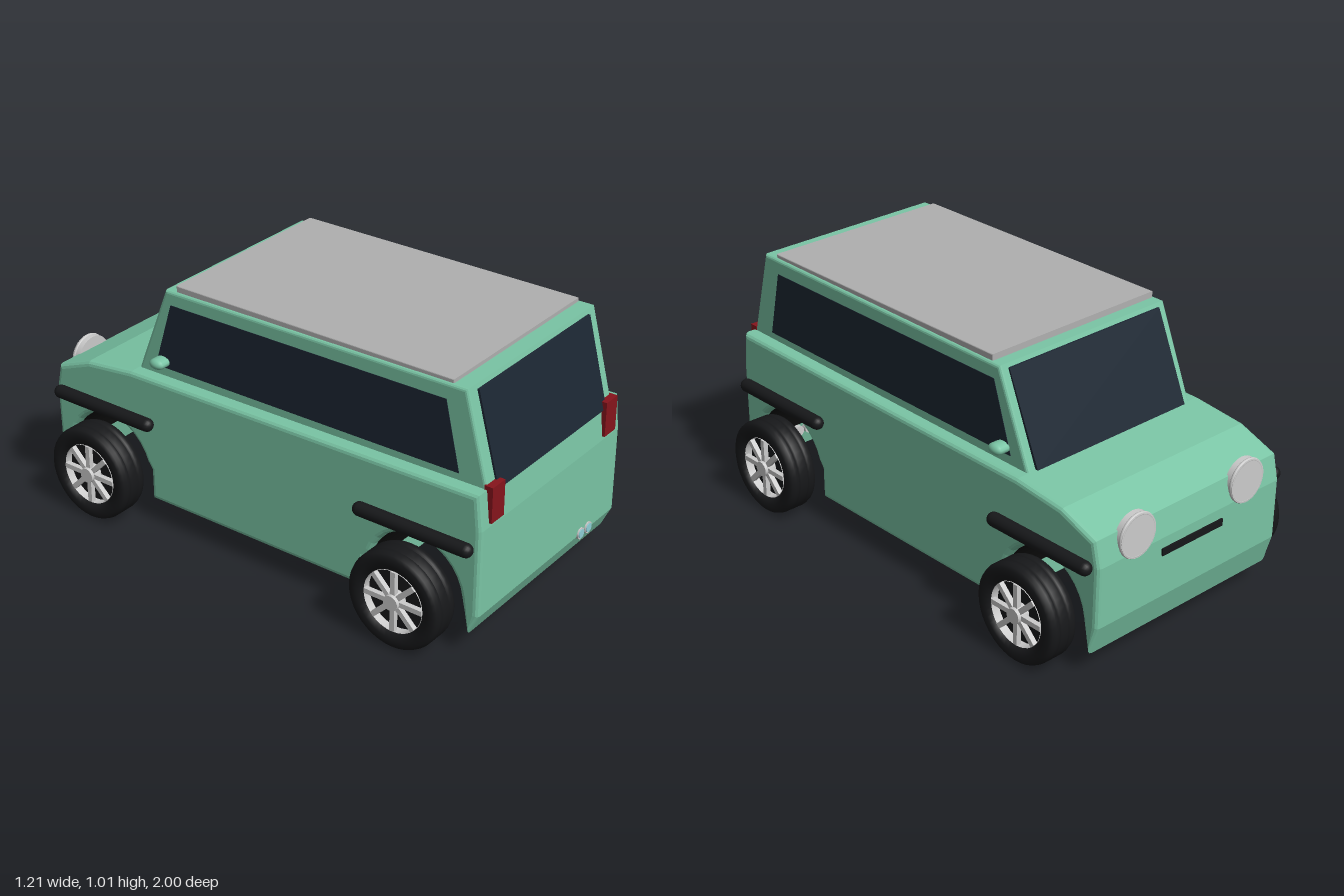
import * as THREE from 'three';

const mat = (color, extra = {}) => new THREE.MeshStandardMaterial({ color, ...extra });
const paint = mat(0x7ac5a5);
const glass = mat(0x1c2733);
const black = mat(0x17181a);
const liner = mat(0x0a0a0a, { side: THREE.DoubleSide });
const metal = mat(0xcccccc);
const rimMetal = mat(0xcccccc, { side: THREE.DoubleSide });
const roofGrey = mat(0xb0b0b0);
const red = mat(0x86141c);
const lens = mat(0x8fd0d8);

export function createModel() {
  const car = new THREE.Group();
  car.name = 'car';

  function add(name, geometry, material, x = 0, y = 0, z = 0, parent = car) {
    const mesh = new THREE.Mesh(geometry, material);
    mesh.name = name;
    mesh.position.set(x, y, z);
    parent.add(mesh);
    return mesh;
  }

  // Side profile of [z, y] points, extruded across x and centred
  function slab(points, width, bevel = 0) {
    const shape = new THREE.Shape(points.map(([z, y]) => new THREE.Vector2(z, y)));
    const depth = width - 2 * bevel;
    const geo = new THREE.ExtrudeGeometry(shape, {
      depth, bevelEnabled: bevel > 0, bevelSize: bevel, bevelThickness: bevel,
      bevelOffset: -bevel, bevelSegments: 3,
    });
    geo.translate(0, 0, -depth / 2);
    geo.rotateY(-Math.PI / 2);
    return geo;
  }

  // Wheel arch, from the sill round to the bumper skirt
  const axleZ = 0.72;
  const arch = [[0.51, 0.1], [0.51, 0.23]];
  for (let i = 0; i <= 14; i++) {
    const a = THREE.MathUtils.degToRad(162 - i * 11);
    arch.push([axleZ + 0.2 * Math.cos(a), 0.195 + 0.203 * Math.sin(a)]);
  }
  arch.push([0.95, 0.082]);
  const frontArch = arch.map(([z, y]) => [-z, y]).reverse();

  // Lower body
  add('body', slab([
    ...frontArch, ...arch,
    [0.99, 0.165], [0.99, 0.51], [0.975, 0.65],
    [-0.59, 0.627], [-0.81, 0.602], [-0.97, 0.54], [-0.992, 0.44], [-0.988, 0.2],
  ], 0.934, 0.02), paint);

  // Cabin and roof panel
  add('cabin', slab([[0.975, 0.6], [0.975, 0.645], [0.88, 1.0], [-0.445, 0.987],
    [-0.592, 0.625], [-0.592, 0.6]], 0.824, 0.012), paint);
  add('roofPanel', slab([[0.82, 0.99], [0.82, 1.014], [-0.4, 1.012], [-0.4, 0.98]], 0.8, 0.004), roofGrey);

  // Windows
  add('windscreen', slab([[-0.458, 0.972], [-0.602, 0.63], [-0.57, 0.63], [-0.43, 0.972]], 0.75), glass);
  add('rearWindow', slab([[0.986, 0.632], [0.894, 0.982], [0.86, 0.982], [0.95, 0.632]], 0.716), glass);
  const sidePane = slab([[0.86, 0.675], [-0.505, 0.663], [-0.42, 0.932], [0.8, 0.94]], 0.012);

  // Wheel parts, built along y then turned to lie along x
  const alongX = (geo) => geo.rotateZ(-Math.PI / 2);
  const tyreProfile = [
    [0.125, -0.05], [0.15, -0.062], [0.175, -0.062], [0.187, -0.054], [0.192, -0.04],
    [0.192, -0.026], [0.186, -0.023], [0.186, -0.019], [0.192, -0.016],
    [0.192, 0.016], [0.186, 0.019], [0.186, 0.023], [0.192, 0.026],
    [0.192, 0.04], [0.187, 0.054], [0.175, 0.062], [0.15, 0.062], [0.125, 0.05], [0.125, -0.05],
  ].map(([r, a]) => new THREE.Vector2(r, a));
  const tyreGeo = alongX(new THREE.LatheGeometry(tyreProfile, 40));
  const rimGeo = alongX(new THREE.CylinderGeometry(0.124, 0.124, 0.105, 36, 1, true));
  const discGeo = alongX(new THREE.CylinderGeometry(0.123, 0.123, 0.02, 36));
  const hubGeo = alongX(new THREE.CylinderGeometry(0.03, 0.036, 0.06, 20));
  const spokeGeo = new THREE.BoxGeometry(0.02, 0.1, 0.02).translate(0, 0.072, 0);

  function wheel(name, side, z) {
    const g = new THREE.Group();
    g.name = name;
    add('tyre', tyreGeo, black, 0, 0, 0, g);
    add('rim', rimGeo, rimMetal, 0, 0, 0, g);
    add('wheelDisc', discGeo, black, 0.01, 0, 0, g);
    add('hub', hubGeo, metal, 0.037, 0, 0, g);
    for (let i = 0; i < 8; i++) {
      add('spoke', spokeGeo, metal, 0.045, 0, 0, g).rotation.x = i * Math.PI / 4;
    }
    g.position.set(side * 0.538, 0.192, z);
    if (side < 0) g.rotation.y = Math.PI;
    car.add(g);
  }

  // Fender trim bar, a capsule lying along z
  const barGeo = new THREE.CapsuleGeometry(0.027, 0.446, 6, 16).rotateX(Math.PI / 2);
  const linerGeo = alongX(new THREE.CylinderGeometry(0.199, 0.199, 0.88, 24, 1, true, Math.PI, Math.PI));

  // Both ends
  for (const [end, s] of [['front', -1], ['rear', 1]]) {
    add(end + 'WheelWell', linerGeo, liner, 0, 0.195, s * axleZ);
    for (const [label, side] of [['Left', 1], ['Right', -1]]) {
      wheel(end + label + 'Wheel', side, s * axleZ);
      add(end + label + 'FenderTrim', barGeo, black, side * 0.487, 0.438, s * 0.723);
    }
  }

  // Paired parts on both sides
  const lampGeo = new THREE.CylinderGeometry(0.085, 0.085, 0.035, 32).rotateX(Math.PI / 2);
  const bezelGeo = new THREE.TorusGeometry(0.08, 0.008, 10, 32);
  const mirrorGeo = new THREE.CapsuleGeometry(0.021, 0.03, 6, 14).rotateZ(Math.PI / 2);
  mirrorGeo.scale(1, 1, 1.6);
  const tailGeo = new THREE.BoxGeometry(0.076, 0.14, 0.035);
  for (const [label, side] of [['left', 1], ['right', -1]]) {
    add(label + 'SideWindow', sidePane, glass, side * 0.408, 0, 0);
    add(label + 'Headlight', lampGeo, metal, side * 0.28, 0.503, -0.98);
    add(label + 'HeadlightBezel', bezelGeo, metal, side * 0.28, 0.503, -0.99);
    add(label + 'Mirror', mirrorGeo, paint, side * 0.433, 0.69, -0.468);
    add(label + 'TailLight', tailGeo, red, side * 0.376, 0.596, 0.981);
  }

  // Grille slot
  add('grille', new THREE.BoxGeometry(0.31, 0.028, 0.02), black, 0, 0.385, -0.988);

  // Twin exhaust pipes
  const pipeGeo = new THREE.CylinderGeometry(0.023, 0.023, 0.09, 20).rotateX(Math.PI / 2);
  const tipGeo = new THREE.CylinderGeometry(0.018, 0.018, 0.01, 20).rotateX(Math.PI / 2);
  for (const x of [0.22, 0.273]) {
    add('exhaustPipe', pipeGeo, metal, x, 0.17, 0.95);
    add('exhaustTip', tipGeo, lens, x, 0.17, 0.993);
  }

  return car;
}
